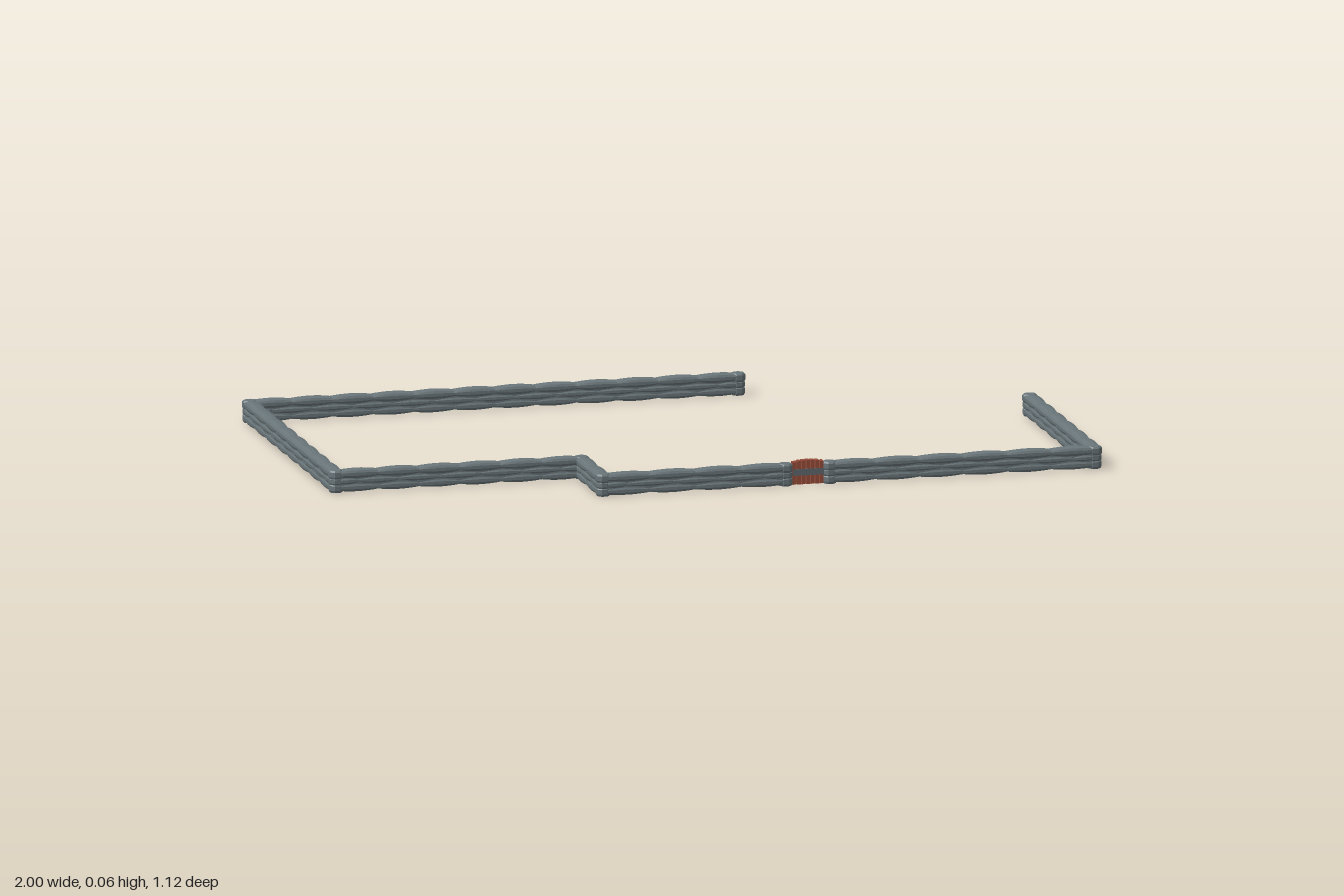
import * as THREE from 'three';

const material = (name, color) => {
  const m = new THREE.MeshStandardMaterial({ color, flatShading: true });
  m.name = name;
  return m;
};

// A long stone with chamfered edges, swelling in the middle; lies along x
function stoneGeometry(length, height, width) {
  const g = new THREE.BoxGeometry(1, 1, 1, 8, 3, 3);
  const p = g.attributes.position;
  for (let i = 0; i < p.count; i++) {
    const u = p.getX(i) * 2, v = p.getY(i) * 2, w = p.getZ(i) * 2;
    const swell = 1 - 0.36 * u * u;
    const sideSwell = 1 - 0.1 * u * u;
    const edge = Math.abs(v) > 0.9 && Math.abs(w) > 0.9;
    p.setXYZ(i, u * length / 2,
      v * (height / 2) * swell * (edge ? 0.8 : 1),
      w * (width / 2) * sideSwell * (edge ? 0.85 : 1));
  }
  g.computeVertexNormals();
  return g;
}

export function createModel() {
  const stone = material('grey stone', 0x6a767a);
  const wood = material('red brown wood', 0x964d3b);
  const iron = material('grey iron', 0x5f686b);
  const model = new THREE.Group();

  const add = (parent, name, geometry, mat, x, y, z) => {
    const mesh = new THREE.Mesh(geometry, mat);
    mesh.name = name;
    mesh.position.set(x, y, z);
    parent.add(mesh);
    return mesh;
  };

  // Courses: centre height, stone height, width
  const courses = [[0.012, 0.024, 0.036], [0.0295, 0.02, 0.036], [0.0475, 0.025, 0.038]];

  // One straight wall between two points
  function wall(x1, z1, x2, z2) {
    const group = new THREE.Group();
    group.name = 'wallRun';
    const length = Math.hypot(x2 - x1, z2 - z1);
    group.position.set((x1 + x2) / 2, 0, (z1 + z2) / 2);
    group.rotation.y = -Math.atan2(z2 - z1, x2 - x1);
    add(group, 'wallCore', new THREE.BoxGeometry(length, 0.044, 0.031), stone, 0, 0.028, 0);
    const count = Math.max(2, Math.round(length / 0.11));
    const step = length / count;
    courses.forEach(([y, h, w], row) => {
      // The middle course is shifted by half a stone, with half stones at the ends
      const joints = [0];
      for (let i = 0; i < count; i++) {
        const j = (i + (row === 1 ? 0.5 : 1)) * step;
        if (j < length - 0.001) joints.push(j);
      }
      joints.push(length);
      for (let i = 0; i < joints.length - 1; i++) {
        const size = joints[i + 1] - joints[i];
        const mid = (joints[i] + joints[i + 1]) / 2 - length / 2;
        add(group, 'wallStone', stoneGeometry(size * 1.02, h, w), stone, mid, y, 0);
      }
    });
    model.add(group);
  }

  // Rounded pier of stones closing corners and ends
  function pier(x, z) {
    const group = new THREE.Group();
    group.name = 'wallPier';
    group.position.set(x, 0, z);
    courses.forEach(([y, h, w]) => {
      const r = w / 2 / Math.cos(Math.PI / 8);
      const top = h / 2 - 0.002;
      const profile = [[0, -h / 2], [r * 0.85, -h / 2], [r, -h / 4], [r, h / 4], [r * 0.8, top], [0, top]]
        .map(([a, b]) => new THREE.Vector2(a, b));
      const mesh = add(group, 'pierStone', new THREE.LatheGeometry(profile, 8), stone, 0, y, 0);
      mesh.rotation.y = Math.PI / 8;
    });
    model.add(group);
  }

  // Two wall paths, leaving openings for the gate and at the back right
  const paths = [
    [[0.318, -0.544], [-0.981, -0.544], [-0.981, 0.323], [-0.327, 0.323], [-0.327, 0.541], [0.158, 0.541]],
    [[0.276, 0.541], [0.981, 0.541], [0.981, -0.106]],
  ];
  for (const path of paths) {
    path.forEach(([x, z], i) => {
      pier(x, z);
      if (i > 0) wall(...path[i - 1], x, z);
    });
  }

  // Wooden gate: close-set pickets with a gently arched top
  const gate = new THREE.Group();
  gate.name = 'gate';
  gate.position.set(0.217, 0, 0.541);
  const pickets = 7;
  for (let i = 0; i < pickets; i++) {
    const t = (i / (pickets - 1)) * 2 - 1;
    const h = 0.065 - 0.004 * t * t;
    add(gate, 'gatePicket', new THREE.BoxGeometry(0.0105, h - 0.002, 0.019), wood, t * 0.036, h / 2 + 0.001, 0);
  }
  // Iron strap on both faces
  for (const side of [-1, 1]) {
    add(gate, 'gateStrap', new THREE.BoxGeometry(0.082, 0.017, 0.002), iron, 0, 0.034, side * 0.0102);
  }
  model.add(gate);

  return model;
}
